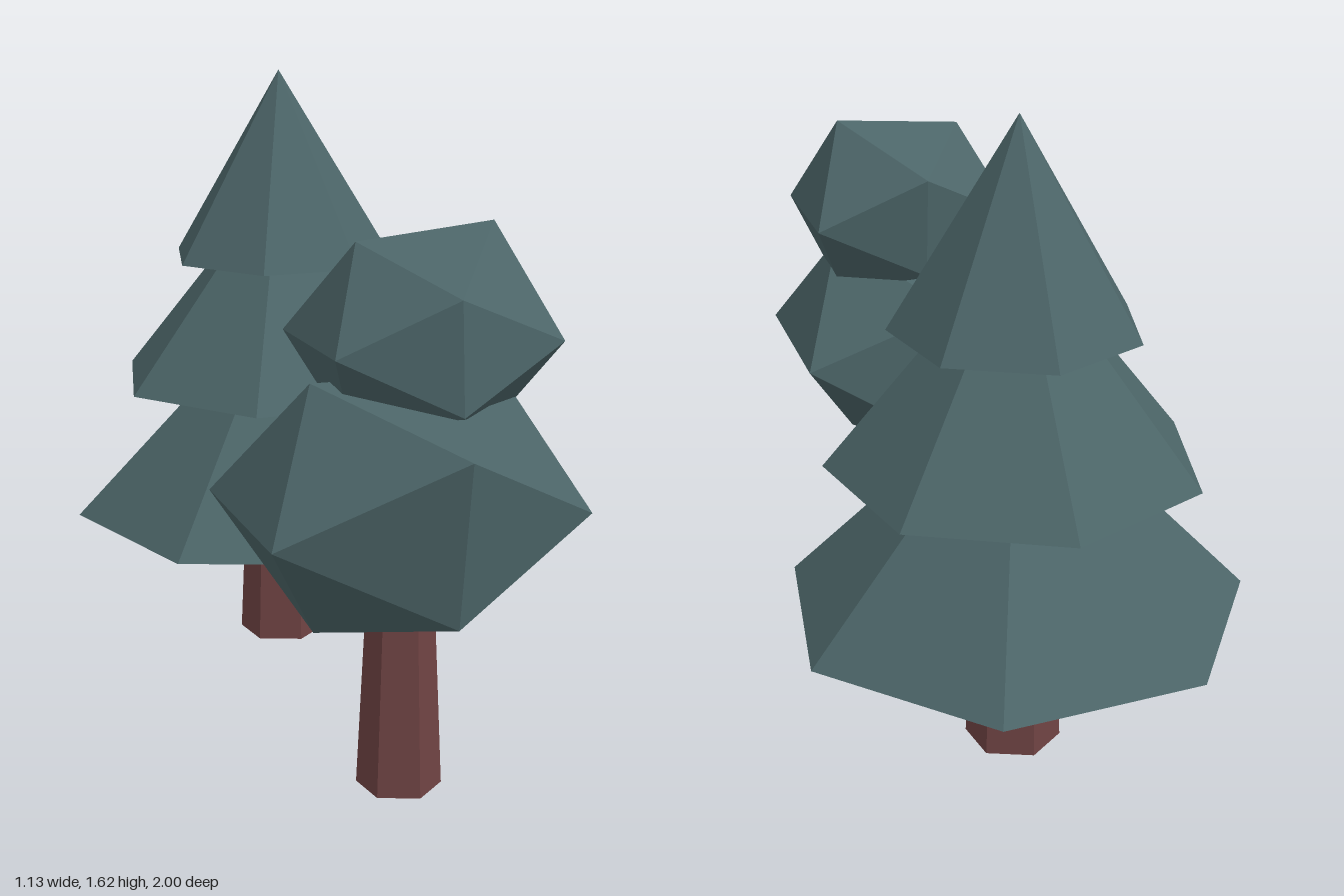
import * as THREE from 'three';
import { ConvexGeometry } from 'three/addons/geometries/ConvexGeometry.js';

export function createModel() {
  const foliage = new THREE.MeshStandardMaterial({ color: 0x4c6568, flatShading: true });
  foliage.name = 'foliage green';
  const bark = new THREE.MeshStandardMaterial({ color: 0x6f4343, flatShading: true });
  bark.name = 'bark brown';

  const model = new THREE.Group();
  model.name = 'trees';

  const addMesh = (parent, name, geometry, material) => {
    const mesh = new THREE.Mesh(geometry, material);
    mesh.name = name;
    parent.add(mesh);
    return mesh;
  };

  // Tapered six-sided trunk standing on the ground
  const addTrunk = (parent, topRadius, bottomRadius, height) => {
    const trunk = addMesh(parent, 'trunk',
      new THREE.CylinderGeometry(topRadius, bottomRadius, height, 6), bark);
    trunk.position.y = height / 2;
    trunk.rotation.y = 0.15;
  };

  // Pine: three stacked seven-sided cones
  const pine = new THREE.Group();
  pine.name = 'pineTree';
  pine.position.set(0.009, 0, -0.452);
  model.add(pine);
  addTrunk(pine, 0.1, 0.12, 0.45);
  const tiers = [
    ['lowerTier', 0.385, 0.99, 0.582, 0.09],
    ['middleTier', 0.765, 1.335, 0.463, 0.44],
    ['topTier', 1.11, 1.62, 0.307, 0.44],
  ];
  for (const [name, base, apex, radius, turn] of tiers) {
    const tier = addMesh(pine, name, new THREE.ConeGeometry(radius, apex - base, 7), foliage);
    tier.position.y = (base + apex) / 2;
    tier.rotation.y = turn;
  }

  // Round tree: two irregular twelve-cornered crowns
  const roundTree = new THREE.Group();
  roundTree.name = 'roundTree';
  model.add(roundTree);
  const trunkHolder = new THREE.Group();
  trunkHolder.name = 'roundTreeTrunk';
  trunkHolder.position.set(-0.04, 0, 0.585);
  roundTree.add(trunkHolder);
  addTrunk(trunkHolder, 0.08, 0.103, 0.5);

  // Corners: two on top, two below, four front/back, four on the sides
  const crowns = {
    lowerCrown: [
      [-0.265, 1.02, 0.585], [0.2, 1.01, 0.585], [-0.26, 0.42, 0.59], [0.165, 0.43, 0.59],
      [-0.045, 0.93, 1.0], [-0.045, 0.53, 0.94], [-0.045, 0.895, 0.24], [-0.045, 0.505, 0.18],
      [-0.435, 0.715, 0.82], [-0.435, 0.715, 0.345], [0.34, 0.715, 0.81], [0.34, 0.715, 0.34],
    ],
    upperCrown: [
      [-0.145, 1.33, 0.555], [0.195, 1.36, 0.555], [-0.15, 0.87, 0.555], [0.19, 0.86, 0.555],
      [0.01, 1.235, 0.805], [0.01, 0.975, 0.825], [0.01, 1.245, 0.3], [0.01, 0.97, 0.32],
      [-0.25, 1.1, 0.71], [-0.26, 1.1, 0.38], [0.297, 1.105, 0.73], [0.297, 1.105, 0.37],
    ],
  };
  for (const [name, corners] of Object.entries(crowns)) {
    addMesh(roundTree, name,
      new ConvexGeometry(corners.map((c) => new THREE.Vector3(...c))), foliage);
  }

  return model;
}
